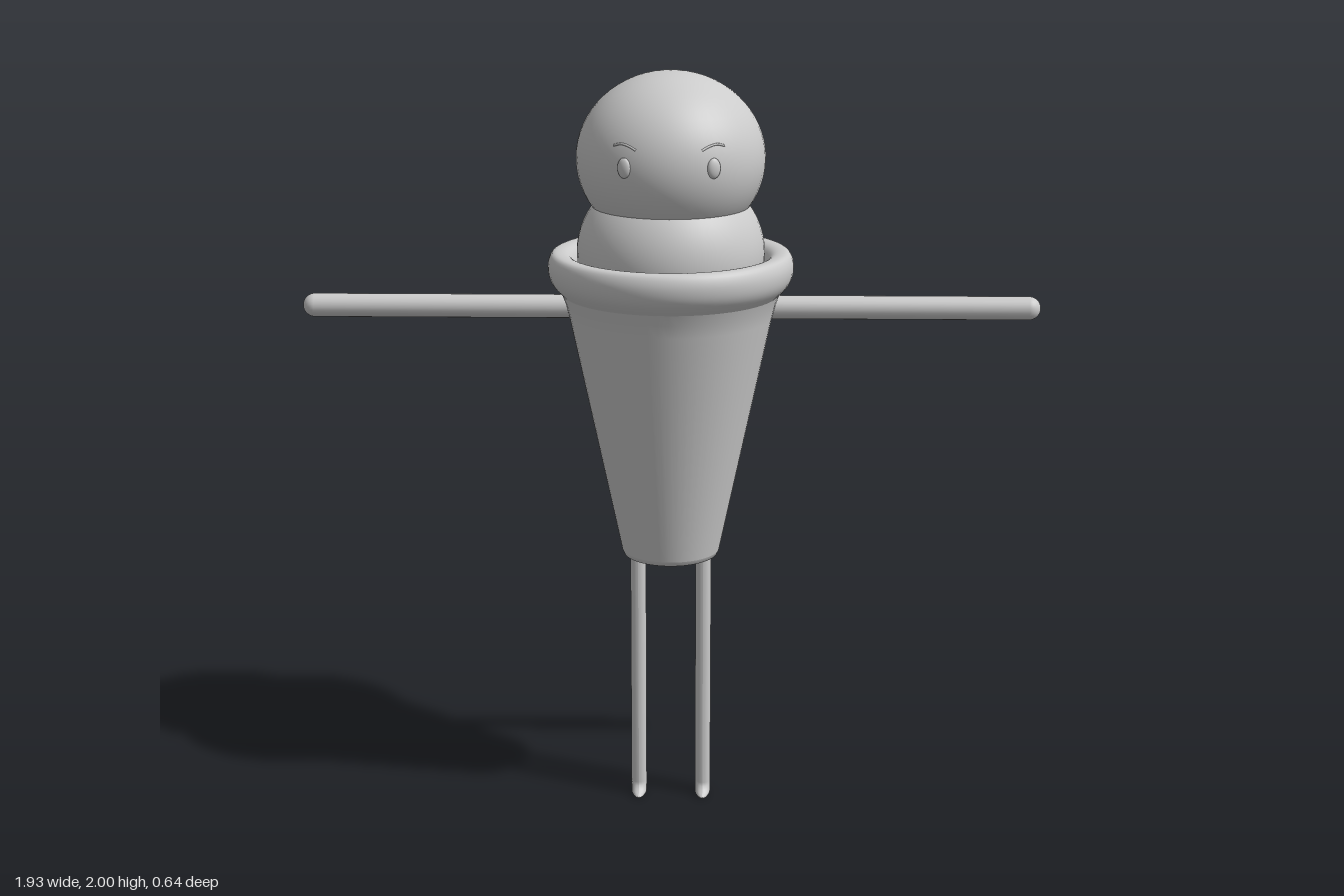
import * as THREE from 'three';

const material = new THREE.MeshStandardMaterial({ color: 0xcccccc });
const HEAD = { y: 1.776, r: 0.245, ry: 0.224 };

function add(parent, name, geometry, x = 0, y = 0, z = 0) {
  const mesh = new THREE.Mesh(geometry, material);
  mesh.name = name;
  mesh.position.set(x, y, z);
  parent.add(mesh);
  return mesh;
}

// Point on the front of the head at the given x and y
function onHead(x, y) {
  const h = (y - HEAD.y) / HEAD.ry;
  return new THREE.Vector3(x, y, Math.sqrt(HEAD.r ** 2 * (1 - h * h) - x * x));
}

// Round leg whose lowest front vertices sweep forward into a small toe
function legGeometry() {
  const height = 0.72, radius = 0.021, ankle = 0.035;
  const profile = [[0, 0], [0.018, 0], [radius, 0.004], [radius, 0.01], [radius, 0.017],
    [radius, 0.025], [radius, ankle], [radius, height]];
  const geometry = new THREE.LatheGeometry(profile.map(([r, y]) => new THREE.Vector2(r, y)), 24);
  const p = geometry.attributes.position;
  for (let i = 0; i < p.count; i++) {
    const z = p.getZ(i), t = Math.max(0, 1 - p.getY(i) / ankle);
    if (z > 0) p.setZ(i, z + 0.038 * (z / radius) * t * t);
  }
  geometry.computeVertexNormals();
  return geometry;
}

export function createModel() {
  const model = new THREE.Group();
  model.name = 'scoopFigure';

  // Two flattened scoops
  const scoop = new THREE.SphereGeometry(HEAD.r, 48, 32).scale(1, HEAD.ry / HEAD.r, 1);
  add(model, 'headScoop', scoop, 0, HEAD.y);
  add(model, 'lowerScoop', scoop, 0, 1.53);

  // Cone body with closed base
  const body = [[0, 0.703], [0.118, 0.703], [0.118, 0.703], [0.126, 0.706], [0.131, 0.718],
    [0.131, 0.718], [0.266, 1.36], [0.275, 1.395], [0.288, 1.43], [0.3, 1.46]];
  add(model, 'coneBody', new THREE.LatheGeometry(body.map(([r, y]) => new THREE.Vector2(r, y)), 64));

  // Rolled rim, curling inward to the lower scoop
  const rim = new THREE.SplineCurve([[0.284, 1.422], [0.308, 1.449], [0.319, 1.475], [0.32, 1.505],
    [0.309, 1.529], [0.287, 1.533], [0.265, 1.526], [0.25, 1.505], [0.243, 1.48]]
    .map(([r, y]) => new THREE.Vector2(r, y)));
  add(model, 'rolledRim', new THREE.LatheGeometry(rim.getPoints(32), 64));

  const armGeometry = new THREE.CapsuleGeometry(0.031, 0.75, 10, 24).rotateZ(Math.PI / 2);
  const leg = legGeometry();
  const eye = new THREE.SphereGeometry(1, 24, 16).scale(0.018, 0.026, 0.01);

  for (const [side, s] of [['left', 1], ['right', -1]]) {
    add(model, side + 'Arm', armGeometry, s * 0.561, 1.383);
    add(model, side + 'Leg', leg, s * 0.088);

    // Eye lying on the head surface
    const spot = onHead(s * 0.112, 1.785);
    const eyeMesh = add(model, side + 'Eye', eye, spot.x, spot.y, spot.z);
    eyeMesh.rotation.y = Math.atan2(spot.x, spot.z);

    // Thin brow, dipping toward the middle
    const brow = new THREE.CatmullRomCurve3([[0.082, 1.83], [0.1, 1.839], [0.12, 1.843], [0.138, 1.838]]
      .map(([x, y]) => onHead(s * x, y)));
    add(model, side + 'Brow', new THREE.TubeGeometry(brow, 16, 0.003, 8));
  }
  return model;
}
